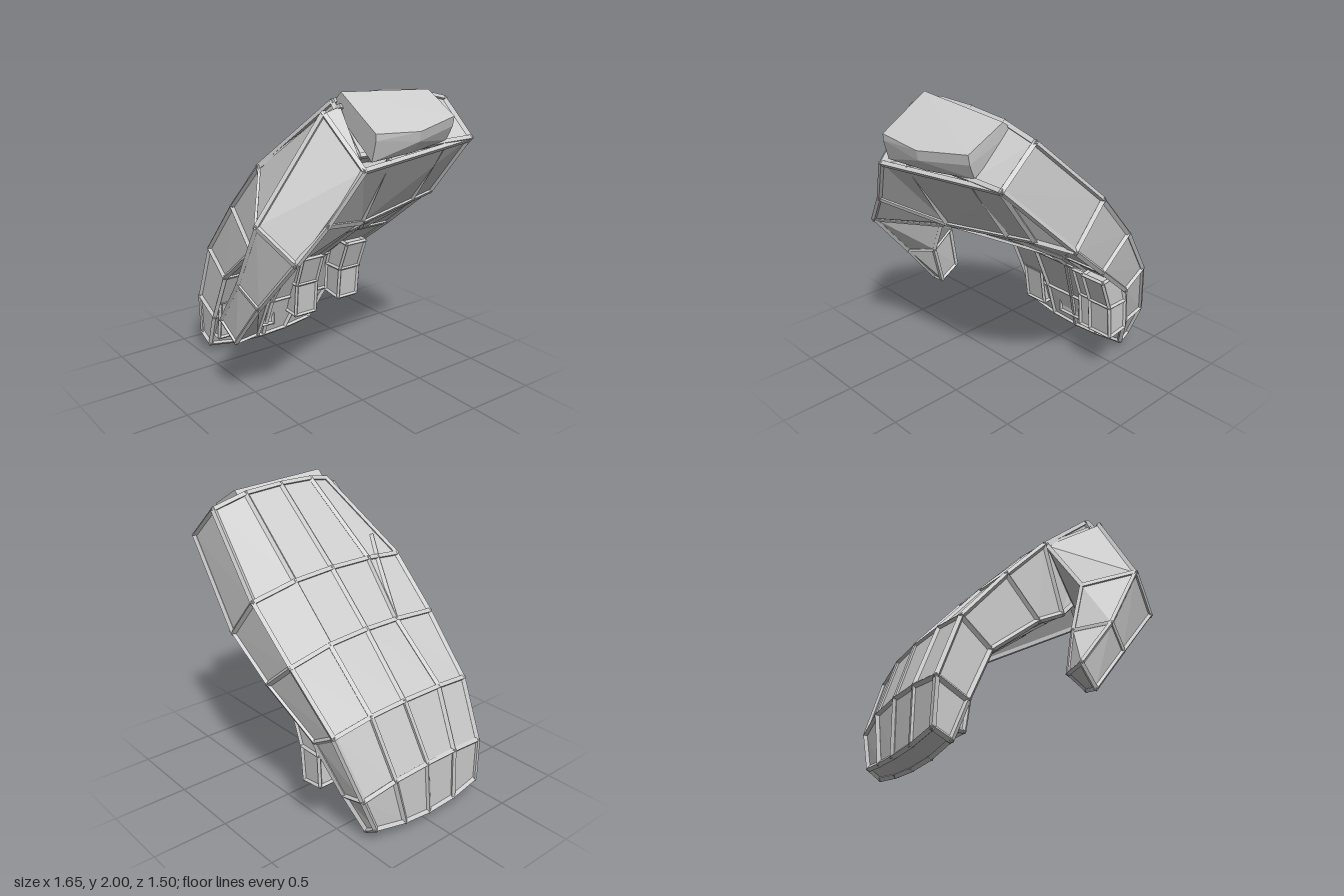
import * as THREE from 'three';
import { mergeGeometries } from 'three/addons/utils/BufferGeometryUtils.js';
import { ConvexGeometry } from 'three/addons/geometries/ConvexGeometry.js';

const V = (x, y, z) => new THREE.Vector3(x, y, z);

// Flat-faced solid through a row of equal rings, capped at both ends
function loft(rings) {
  const tris = [], n = rings[0].length;
  const quad = (a, b, c, d) => tris.push([a, b, c], [a, c, d]);
  for (let i = 0; i < rings.length - 1; i++) {
    for (let j = 0; j < n; j++) {
      const k = (j + 1) % n;
      quad(rings[i][j], rings[i + 1][j], rings[i + 1][k], rings[i][k]);
    }
  }
  const first = rings[0], last = rings[rings.length - 1];
  for (let k = 0; k < n / 2 - 1; k++) {
    quad(first[k], first[k + 1], first[n - 2 - k], first[n - 1 - k]);
    quad(last[n - 1 - k], last[n - 2 - k], last[k + 1], last[k]);
  }
  // turn the faces outward if the solid came out inside out
  const volume = tris.reduce((s, [a, b, c]) => s + a.dot(b.clone().cross(c)), 0);
  if (volume < 0) tris.forEach((t) => t.reverse());
  const g = new THREE.BufferGeometry().setFromPoints(tris.flat());
  g.computeVertexNormals();
  return g;
}

// Thin square bar between two points
function bar(a, b, r = 0.019) {
  const d = b.clone().sub(a);
  const g = new THREE.CylinderGeometry(r, r, d.length() + r, 4, 1).toNonIndexed();
  g.computeVertexNormals();
  g.applyQuaternion(new THREE.Quaternion().setFromUnitVectors(V(0, 1, 0), d.normalize()));
  const m = a.clone().add(b).multiplyScalar(0.5);
  return g.translate(m.x, m.y, m.z);
}

// Bars along every ring and every lengthwise edge
function cage(rings, r) {
  const bars = [];
  rings.forEach((ring, i) => ring.forEach((p, j) => {
    bars.push(bar(p, ring[(j + 1) % ring.length], r));
    if (i < rings.length - 1) bars.push(bar(p, rings[i + 1][j], r));
  }));
  return mergeGeometries(bars);
}

export function createModel() {
  const group = new THREE.Group();
  const grey = new THREE.MeshStandardMaterial({ color: 0xcccccc });
  grey.name = 'light grey';
  grey.flatShading = true;
  const add = (name, geometry) => {
    const mesh = new THREE.Mesh(geometry, grey);
    mesh.name = name;
    group.add(mesh);
  };
  const addLoft = (name, rings, r) => {
    add(name, loft(rings));
    add(name + 'Seams', cage(rings, r));
  };

  // Curved hand: back x, back y, palm x, palm y, then z of the five seams
  const stations = [
    [0.45, 1.96, 0.69, 1.67, [-0.66, -0.42, -0.15, 0.09, 0.22]],
    [-0.04, 1.52, 0.15, 1.13, [-0.735, -0.43, -0.14, 0.16, 0.41]],
    [-0.34, 1.2, -0.11, 0.93, [-0.70, -0.41, -0.12, 0.13, 0.43]],
    [-0.66, 0.83, -0.45, 0.65, [-0.62, -0.36, -0.1, 0.2, 0.44]],
    [-0.805, 0.43, -0.6, 0.31, [-0.52, -0.29, -0.03, 0.21, 0.45]],
    [-0.81, 0.07, -0.69, 0.02, [-0.42, -0.2, 0, 0.22, 0.44]],
  ];
  const drop = [-0.08, -0.02, 0, 0, -0.02];
  const lift = [0.04, 0.01, 0, 0.01, 0.05];
  const slant = [0.05, 0.03, 0, -0.03, -0.09]; // the palm seam beside the thumb runs askew
  const hand = stations.map(([bx, by, px, py, zs], i) => {
    const end = i === 5;
    const back = zs.map((z, k) => V(bx - drop[k] * (i > 2 ? 0.5 : 0), by + (end ? lift[k] : drop[k]), z));
    const palm = zs.map((z, k) => {
      const s = i === 1 ? slant[k] : 0;
      return V(px + s * 0.7, py + s + (end ? lift[k] : 0), z);
    });
    return [...back, ...palm.reverse()];
  });
  addLoft('hand', hand);

  // Thumb base and heel of the palm
  const wristTop = V(0.51, 1.92, 0.21), top = V(0.5, 1.89, 0.32), knuckle = V(0.43, 1.29, 0.73);
  const web = V(0.14, 1.19, 0.55), backCorner = V(-0.02, 1.5, 0.41), wristFront = V(0.79, 1.61, 0.26);
  const outer = V(0.7, 1.31, 0.44), outerKnuckle = V(0.64, 1.1, 0.61);
  const palmPeak = V(0.5, 1.21, 0.03), inner = V(0.23, 0.99, 0.43);
  const heelSide = V(0.4, 1.28, -0.62), palmMiddle = V(-0.06, 0.95, -0.42);
  const wristBack = V(0.68, 1.66, -0.65), heelEdge = V(0.21, 1.19, -0.73);
  const wristMiddle = V(0.69, 1.65, -0.43), ridgeMiddle = V(0.43, 1.26, -0.43);
  add('thumbBase', new ConvexGeometry([wristTop, top, knuckle, web, backCorner, wristFront, outer,
    outerKnuckle, palmPeak, inner]));
  add('palmHeel', new ConvexGeometry([palmPeak, wristFront, wristBack, heelSide, palmMiddle, heelEdge,
    V(0.3, 1.6, -0.6), V(0.3, 1.6, 0.2)]));
  add('palmSeams', mergeGeometries([
    [top, knuckle], [wristTop, backCorner], [top, wristFront], [backCorner, web],
    [web, knuckle], [knuckle, outerKnuckle], [wristFront, outer], [outer, outerKnuckle],
    [outer, palmPeak], [palmPeak, inner], [inner, outerKnuckle],
    [palmPeak, palmMiddle], [palmPeak, heelSide], [heelSide, heelEdge], [heelSide, wristBack],
    [palmPeak, V(0.75, 1.64, 0.05)], [wristFront, wristBack],
    [wristMiddle, ridgeMiddle], [ridgeMiddle, palmMiddle],
    [V(-0.34, 1.2, 0.13), V(-0.04, 1.51, 0.24)], [V(-0.04, 1.51, 0.24), V(0.08, 1.61, 0.3)],
  ].map(([a, b]) => bar(a, b))));

  // Thumb
  addLoft('thumb', [
    [knuckle, outerKnuckle, inner, web],
    [V(0.21, 0.88, 0.73), V(0.34, 0.75, 0.67), V(0.23, 0.77, 0.52), V(0.06, 0.86, 0.55)],
    [V(-0.02, 0.57, 0.72), V(0.1, 0.45, 0.69), V(0.14, 0.49, 0.56), V(0, 0.56, 0.57)],
  ], 0.016);

  // Curled fingertips: z range, then back and palm points down the finger
  const fingers = [
    ['littleFinger', -0.61, -0.44, [[-0.4, 0.79, -0.23, 0.77], [-0.47, 0.56, -0.31, 0.56], [-0.48, 0.35, -0.33, 0.33]]],
    ['ringFinger', -0.37, -0.19, [[-0.6, 0.66, -0.42, 0.65], [-0.66, 0.43, -0.5, 0.43], [-0.68, 0.19, -0.52, 0.18]]],
    ['middleFinger', -0.07, 0.12, [[-0.75, 0.38, -0.64, 0.37], [-0.76, 0.12, -0.65, 0.11]]],
    ['indexFinger', 0.25, 0.42, [[-0.75, 0.43, -0.56, 0.42], [-0.76, 0.15, -0.6, 0.14]]],
  ];
  for (const [name, z0, z1, rows] of fingers) {
    addLoft(name, rows.map(([x0, y0, x1, y1]) =>
      [V(x0, y0, z0), V(x0, y0, z1), V(x1, y1, z1), V(x1, y1, z0)]), 0.014);
  }

  // Wrist block
  add('wrist', new ConvexGeometry([
    V(0.5, 2, 0.2), V(0.81, 1.81, 0.2), V(0.82, 1.79, -0.12), V(0.74, 1.83, -0.46), V(0.5, 1.96, -0.47),
    V(0.42, 1.92, 0.2), V(0.42, 1.9, -0.47), V(0.81, 1.77, 0.2), V(0.81, 1.73, -0.12), V(0.73, 1.77, -0.46),
    V(0.78, 1.65, 0.2), V(0.76, 1.66, -0.12), V(0.69, 1.68, -0.45),
  ]));
  return group;
}
